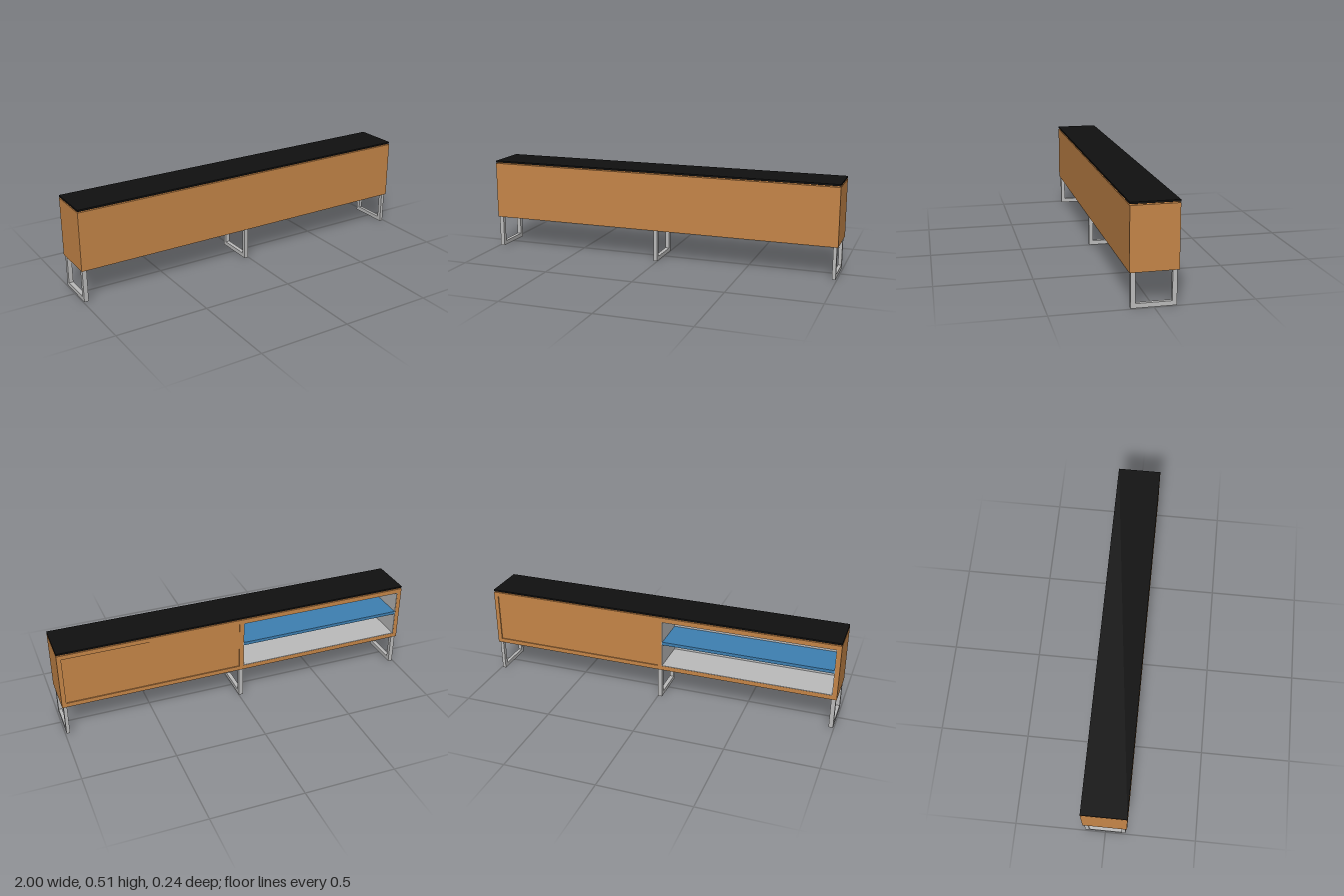
import * as THREE from 'three';

export function createModel() {
  const model = new THREE.Group();
  const material = (name, color) => {
    const m = new THREE.MeshStandardMaterial({ color });
    m.name = name;
    return m;
  };
  const wood = material('wood', 0xc68648);
  const silver = material('silver', 0xbcbcbc);
  const blue = material('blue', 0x3e80b2);
  const black = material('black', 0x101010);

  // Box given by its lower and upper limits on each axis
  const box = (name, mat, [x0, x1], [y0, y1], [z0, z1], parent = model) => {
    const mesh = new THREE.Mesh(new THREE.BoxGeometry(x1 - x0, y1 - y0, z1 - z0), mat);
    mesh.position.set((x0 + x1) / 2, (y0 + y1) / 2, (z0 + z1) / 2);
    mesh.name = name;
    parent.add(mesh);
  };

  const t = 0.024;                      // panel thickness
  const bottom = 0.177, top = 0.497, half = 0.12;
  const inner = [bottom + t, top - t];  // height inside the cabinet
  const depth = [-half, half - t];      // depth behind the front panel

  // Cabinet body
  const cabinet = new THREE.Group();
  cabinet.name = 'cabinet';
  model.add(cabinet);
  box('frontPanel', wood, [-1, 1], [bottom, top], [half - t, half], cabinet);
  box('bottomPanel', wood, [-1, 1], [bottom, bottom + t], depth, cabinet);
  box('topPanel', wood, [-1, 1], [top - t, top], depth, cabinet);
  box('rightEnd', wood, [-1, -1 + t], inner, depth, cabinet);
  box('leftEnd', wood, [1 - t, 1], inner, depth, cabinet);
  box('divider', wood, [-t, 0], inner, depth, cabinet);

  // Closed half: slightly recessed door
  box('door', wood, [0, 1 - t], inner, [-half + 0.006, -half + t], cabinet);

  // Open half: lining and shelf
  const x0 = -1 + t, x1 = -t, p = 0.003;
  const liningDepth = [-half + 0.001, half - t];
  const lining = new THREE.Group();
  lining.name = 'lining';
  model.add(lining);
  box('liningFloor', silver, [x0, x1], [inner[0], inner[0] + p], liningDepth, lining);
  box('liningCeiling', silver, [x0, x1], [inner[1] - p, inner[1]], liningDepth, lining);
  box('liningRight', silver, [x0, x0 + p], inner, liningDepth, lining);
  box('liningLeft', silver, [x1 - p, x1], inner, liningDepth, lining);
  box('liningFront', silver, [x0, x1], inner, [half - t - p, half - t], lining);
  box('shelf', blue, [x0 + p, x1 - p], [0.331, 0.349], [-half + 0.004, half - t - p]);

  // Floating top sheet
  box('topSheet', black, [-1, 1], [0.503, 0.512], [-half, half]);

  // Three U-shaped legs
  for (const [a, b] of [[-0.995, -0.971], [-0.024, -0.001], [0.974, 0.993]]) {
    const o = 0.112, i = 0.089;
    const shape = new THREE.Shape([
      [-o, 0], [o, 0], [o, bottom], [i, bottom], [i, 0.023], [-i, 0.023], [-i, bottom], [-o, bottom],
    ].map(([z, y]) => new THREE.Vector2(z, y)));
    const geometry = new THREE.ExtrudeGeometry(shape, { depth: b - a, bevelEnabled: false });
    geometry.rotateY(Math.PI / 2);
    const leg = new THREE.Mesh(geometry, silver);
    leg.position.x = a;
    leg.name = 'legFrame';
    model.add(leg);
  }
  return model;
}
